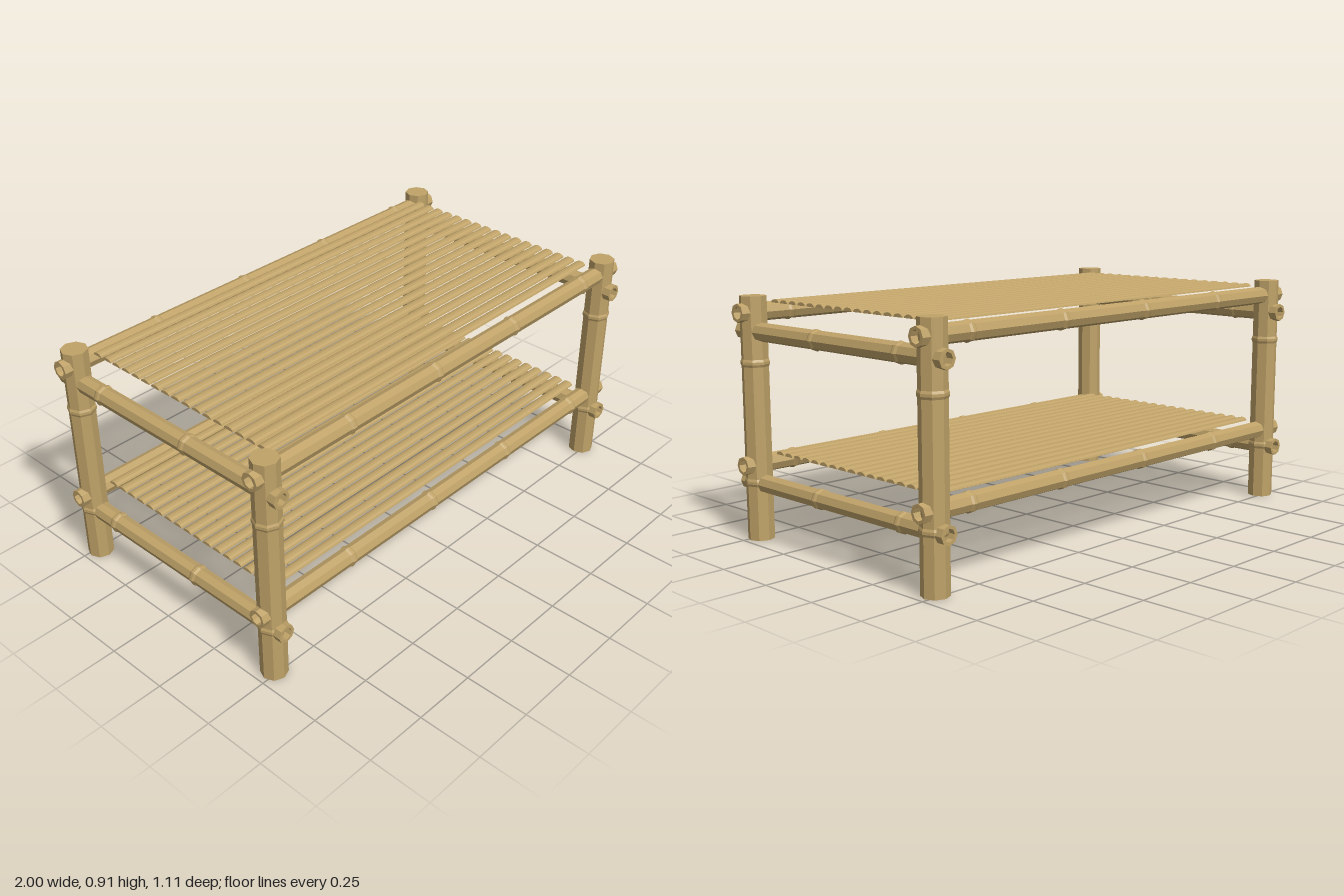
import * as THREE from 'three';

const NODE_GAP = 0.445; // distance between the ridges of a cane

// Eight-sided cane along +y from 0, with ridges and bored-out ends
function caneGeometry(radius, length, firstNode, closedTop) {
  const bore = radius * 0.66, depth = 0.05;
  const pts = [[0, depth], [bore, depth], [bore, 0], [radius, 0]];
  for (let y = firstNode; y < length - 0.05; y += NODE_GAP) {
    pts.push([radius, y - 0.014], [radius + 0.004, y - 0.005], [radius + 0.004, y + 0.005], [radius, y + 0.014]);
  }
  pts.push([radius, length]);
  if (closedTop) pts.push([0, length]);
  else pts.push([bore, length], [bore, length - depth], [0, length - depth]);
  const lathe = new THREE.LatheGeometry(pts.map(([r, y]) => new THREE.Vector2(r, y)), 8);
  const geometry = lathe.toNonIndexed();
  geometry.computeVertexNormals(); // flat facets
  return geometry;
}

// Split-cane slat along x: flat underneath, faceted and rounded on top
function slatGeometry(length, width, height) {
  const shape = new THREE.Shape();
  const steps = 6;
  for (let i = 0; i <= steps; i++) {
    const a = (i / steps) * Math.PI;
    const x = Math.cos(a) * width / 2, y = Math.sin(a) * height;
    if (i === 0) shape.moveTo(x, y);
    else shape.lineTo(x, y);
  }
  shape.closePath();
  const geometry = new THREE.ExtrudeGeometry(shape, { depth: length, bevelEnabled: false });
  geometry.translate(0, 0, -length / 2);
  geometry.rotateY(Math.PI / 2);
  return geometry;
}

export function createModel() {
  const model = new THREE.Group();
  model.name = 'caneTable';
  const cane = new THREE.MeshStandardMaterial({ color: 0xbfa268 });
  cane.name = 'cane';

  const add = (name, geometry, x, y, z, parent = model) => {
    const mesh = new THREE.Mesh(geometry, cane);
    mesh.name = name;
    mesh.position.set(x, y, z);
    parent.add(mesh);
  };

  const postX = 0.93, postZ = 0.485, railR = 0.035;
  const post = caneGeometry(0.05, 0.91, 0.22, true);
  const longRail = caneGeometry(railR, 2, NODE_GAP, false).rotateZ(-Math.PI / 2);
  const sideRail = caneGeometry(railR, 1.11, NODE_GAP, false).rotateX(-Math.PI / 2);
  const slat = slatGeometry(1.76, 0.044, 0.013);

  // Corner posts
  for (const sx of [-1, 1]) {
    for (const sz of [-1, 1]) {
      add(`${sz > 0 ? 'front' : 'back'}${sx > 0 ? 'Left' : 'Right'}Post`, post, sx * postX, 0, sz * postZ);
    }
  }

  // Two levels of rails, each carrying a slatted shelf
  for (const [level, y] of [['lower', 0.285], ['upper', 0.85]]) {
    for (const s of [-1, 1]) {
      add(`${level}${s > 0 ? 'Front' : 'Back'}Rail`, longRail, -1, y, s * postZ);
      add(`${level}${s > 0 ? 'Left' : 'Right'}Rail`, sideRail, s * postX, y - 0.07, 0.555);
    }
    const shelf = new THREE.Group();
    shelf.name = `${level}Shelf`;
    model.add(shelf);
    for (let i = -8; i <= 8; i++) add('slat', slat, 0, y + 0.034, i * 0.0525, shelf);
  }
  return model;
}
